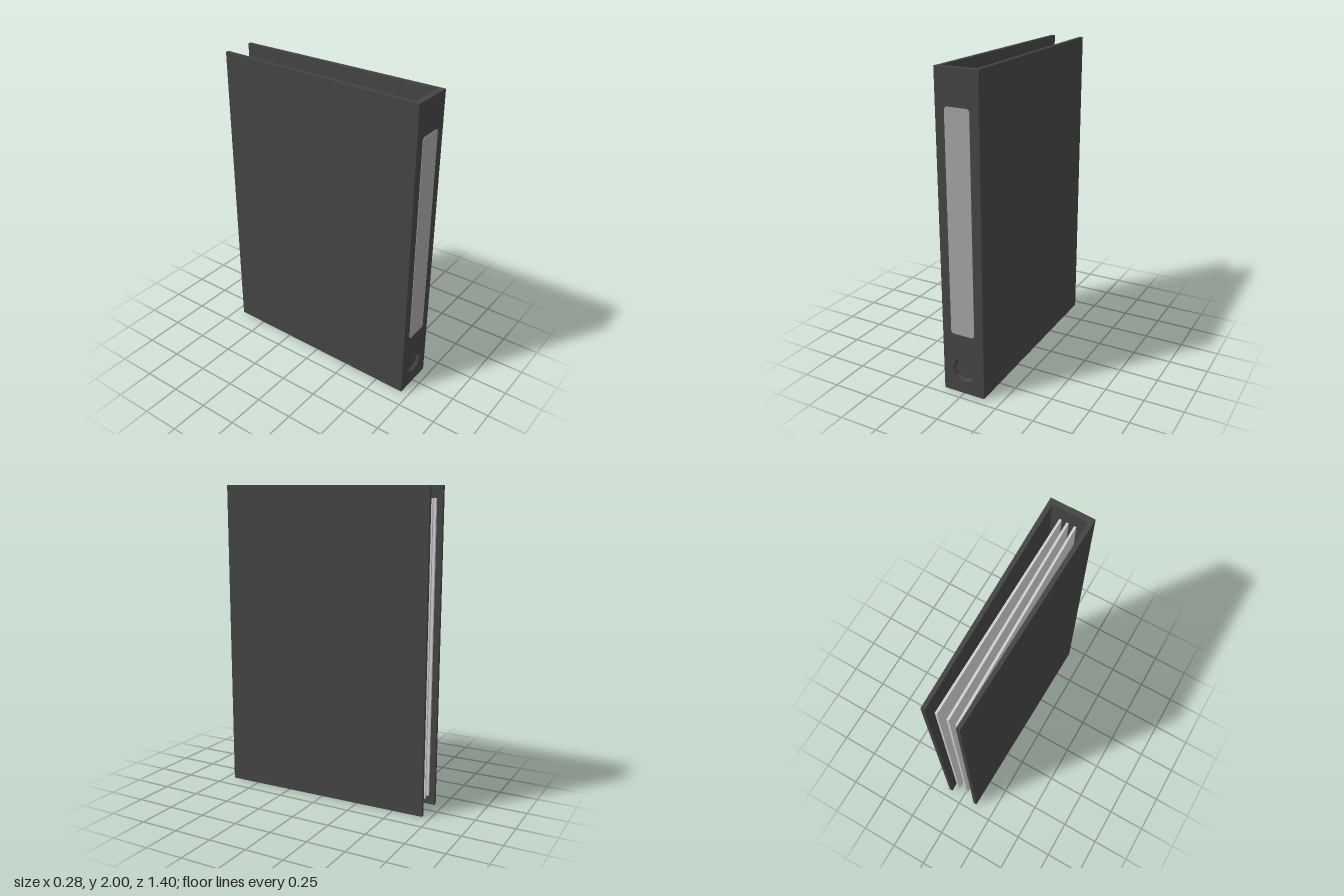
import * as THREE from 'three';

const material = (name, color) => {
  const m = new THREE.MeshStandardMaterial({ color });
  m.name = name;
  return m;
};

// Extrude an outline given as [x, z] pairs upward from y0 to y1
function prism(points, y0, y1) {
  const shape = new THREE.Shape(points.map(([x, z]) => new THREE.Vector2(x, -z)));
  return new THREE.ExtrudeGeometry(shape, { depth: y1 - y0, bevelEnabled: false })
    .rotateX(-Math.PI / 2)
    .translate(0, y0, 0);
}

// Regular octagon with a corner pointing up
function octagon(radius, cy) {
  return Array.from({ length: 8 }, (_, i) => {
    const a = (i * Math.PI) / 4;
    return new THREE.Vector2(radius * Math.sin(a), cy + radius * Math.cos(a));
  });
}

export function createModel() {
  const group = new THREE.Group();
  const cover = material('charcoal cover', 0x444444);
  const recess = material('charcoal recess', 0x444444);
  recess.side = THREE.DoubleSide;
  const grey = material('label grey', 0xa3a3a3);
  const paper = material('paper', 0xcfcfcf);

  const add = (name, geometry, mat) => {
    const mesh = new THREE.Mesh(geometry, mat);
    mesh.name = name;
    group.add(mesh);
    return mesh;
  };

  const front = 0.697, back = -0.697, seam = 0.677, height = 2;
  const holeY = 0.16, holeR = 0.08;

  // Covers lean together toward the open edge and join at the spine
  add('coversAndSpineBack', prism([
    [-0.14, seam], [0.14, seam], [0.115, back], [0.092, back],
    [0.112, 0.66], [-0.112, 0.66], [-0.092, back], [-0.115, back],
  ], 0, height), cover);

  // Spine face with the finger hole cut into it
  const face = new THREE.Shape([
    new THREE.Vector2(-0.14, 0), new THREE.Vector2(0.14, 0),
    new THREE.Vector2(0.14, height), new THREE.Vector2(-0.14, height),
  ]);
  face.holes.push(new THREE.Path(octagon(holeR, holeY)));
  add('spineFace', new THREE.ExtrudeGeometry(face, { depth: front - seam, bevelEnabled: false })
    .translate(0, 0, seam), cover);

  // Tapered wall of the finger hole
  const wall = new THREE.CylinderGeometry(holeR, 0.068, front - seam, 8, 1, true)
    .rotateX(Math.PI / 2)
    .toNonIndexed();
  wall.computeVertexNormals();
  add('fingerHoleWall', wall, recess).position.set(0, holeY, (front + seam) / 2);

  // Spine label with clipped corners
  const w = 0.08, y0 = 0.4, y1 = 1.785, c = 0.013;
  const label = new THREE.Shape([
    [-w + c, y0], [w - c, y0], [w, y0 + c], [w, y1 - c],
    [w - c, y1], [-w + c, y1], [-w, y1 - c], [-w, y0 + c],
  ].map(([x, y]) => new THREE.Vector2(x, y)));
  add('spineLabel', new THREE.ExtrudeGeometry(label, { depth: 0.003, bevelEnabled: false })
    .translate(0, 0, front), grey);

  // Paper stacks fanning slightly, as [front x, back x]
  const t = 0.007;
  [[-0.048, -0.072], [0, -0.018], [0.045, 0.052]].forEach(([xf, xb], i) => {
    add(`paperStack${i + 1}`, prism([
      [xf - t, 0.645], [xf + t, 0.645], [xb + t, -0.665], [xb - t, -0.665],
    ], 0.065, 1.925), paper);
  });

  // Flat arched rings holding the paper to the spine
  const arch = [
    [-0.092, 0.66], [-0.062, 0.626], [0, 0.607], [0.062, 0.626], [0.092, 0.66],
    [0.073, 0.66], [0.052, 0.64], [0, 0.623], [-0.052, 0.64], [-0.073, 0.66],
  ];
  for (const y of [0.75, 1.25]) add('ring', prism(arch, y - 0.012, y + 0.012), grey);

  return group;
}
